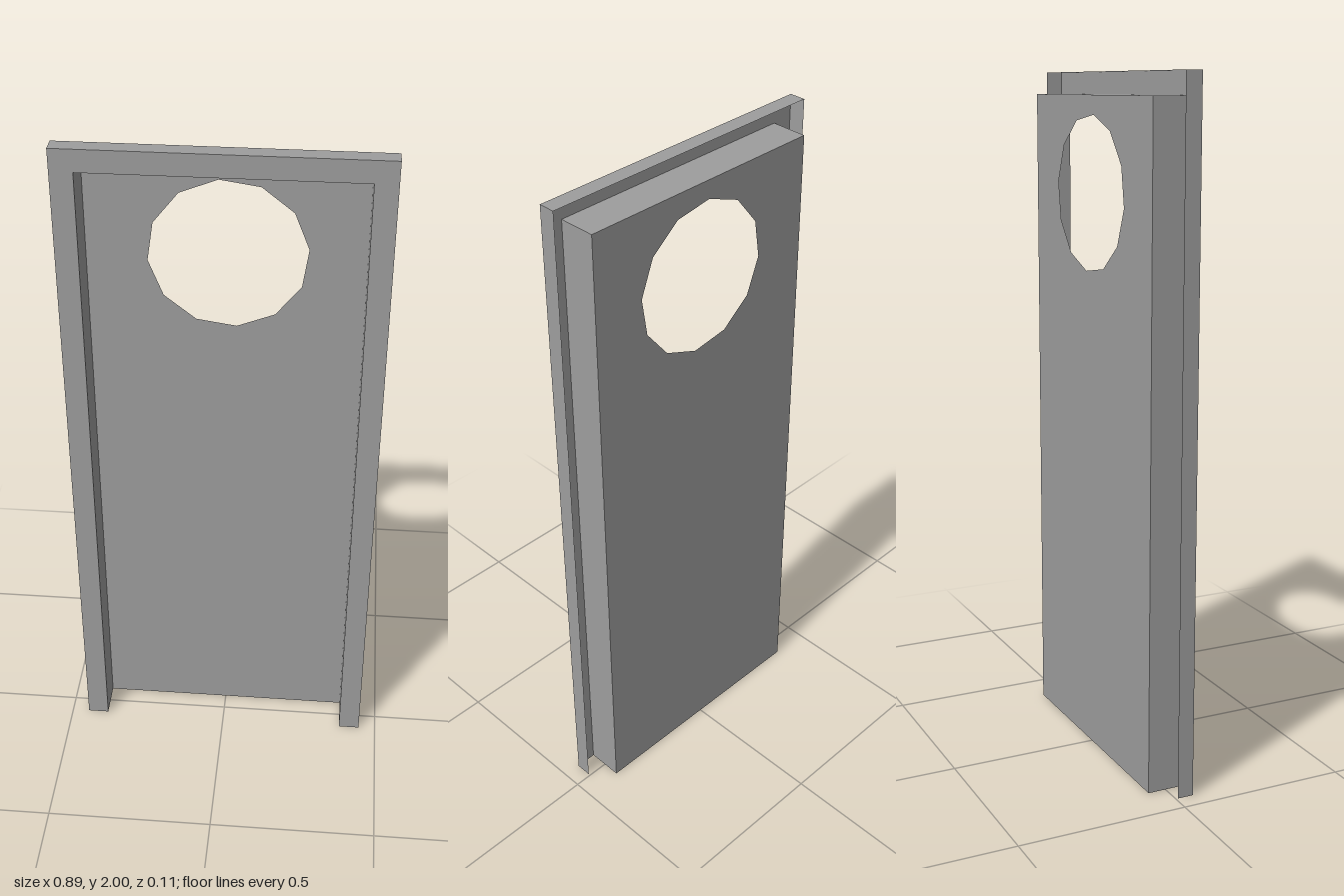
import * as THREE from 'three';

const OUTER = 0.447, INNER = 0.383;   // half widths
const TOP = 2, INNER_TOP = TOP - (OUTER - INNER);
const FRONT = 0.054, BACK = -0.054, LIP = 0.006;

// Folded sheet section (half width, z) swept up one side, across the top and down the other
function sweptFrame(section) {
  const rows = section.map(([w, z]) => {
    const top = TOP - (OUTER - w);
    return [[w, 0, z], [w, top, z], [-w, top, z], [-w, 0, z]];
  });
  const pos = [];
  for (let i = 0; i < rows.length - 1; i++) {
    for (let j = 0; j < 3; j++) {
      const a = rows[i][j], b = rows[i][j + 1], c = rows[i + 1][j + 1], d = rows[i + 1][j];
      pos.push(...a, ...b, ...c, ...a, ...c, ...d);
    }
  }
  const geo = new THREE.BufferGeometry();
  geo.setAttribute('position', new THREE.Float32BufferAttribute(pos, 3));
  geo.computeVertexNormals();
  return geo;
}

// Flat door leaf with a twelve-sided window opening
function leafGeometry() {
  const shape = new THREE.Shape([
    new THREE.Vector2(-INNER, 0), new THREE.Vector2(INNER, 0),
    new THREE.Vector2(INNER, INNER_TOP), new THREE.Vector2(-INNER, INNER_TOP),
  ]);
  const ring = [];
  for (let i = 0; i < 12; i++) {
    const a = THREE.MathUtils.degToRad(6.5 - i * 30);
    ring.push(new THREE.Vector2(0.005 + 0.221 * Math.cos(a), 1.662 + 0.221 * Math.sin(a)));
  }
  shape.holes.push(new THREE.Path(ring));
  return new THREE.ShapeGeometry(shape);
}

export function createModel() {
  const group = new THREE.Group();
  const material = new THREE.MeshStandardMaterial({
    color: 0x9d9d9d, flatShading: true, side: THREE.DoubleSide,
  });
  const add = (name, geo) => {
    const mesh = new THREE.Mesh(geo, material);
    mesh.name = name;
    group.add(mesh);
    return mesh;
  };

  // Outer lip, front face and deep jamb of the door frame, open behind and below
  add('doorFrame', sweptFrame([[OUTER, LIP], [OUTER, FRONT], [INNER, FRONT], [INNER, BACK]]));

  // Leaf closing the back of the frame
  add('doorLeaf', leafGeometry()).position.z = BACK;

  return group;
}
